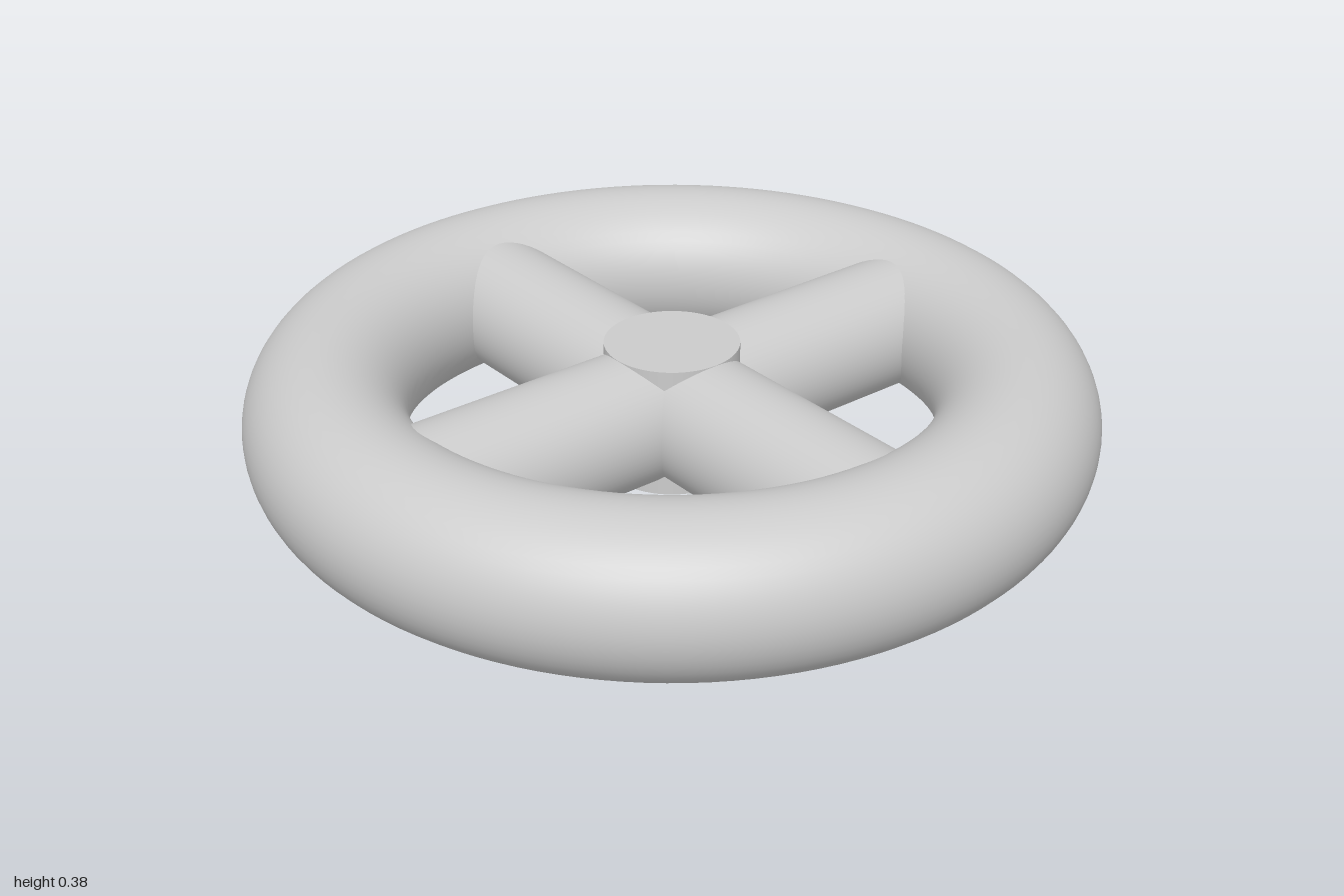
import * as THREE from 'three';

const TUBE = 0.1925;          // rim tube radius, also the mid height
const RING = 1 - TUBE;        // rim centre-line radius
const SPOKE = 0.159;          // spoke and hub radius

export function createModel() {
  const model = new THREE.Group();
  const material = new THREE.MeshStandardMaterial({ color: 0xcccccc });

  const add = (name, geometry) => {
    const mesh = new THREE.Mesh(geometry, material);
    mesh.name = name;
    mesh.position.y = TUBE;
    model.add(mesh);
    return mesh;
  };

  // Round rim lying flat
  add('rim', new THREE.TorusGeometry(RING, TUBE, 48, 128).rotateX(Math.PI / 2));

  // Two crossing bars form four spokes, their ends buried in the rim
  const bar = new THREE.CylinderGeometry(SPOKE, SPOKE, RING * 2, 64, 1, true);
  add('spokesLeftRight', bar.clone().rotateZ(Math.PI / 2));
  add('spokesFrontBack', bar.clone().rotateX(Math.PI / 2));

  // Upright hub with flat ends, just proud of the spokes
  add('hub', new THREE.CylinderGeometry(SPOKE, SPOKE, SPOKE * 2 + 0.002, 64));

  return model;
}
